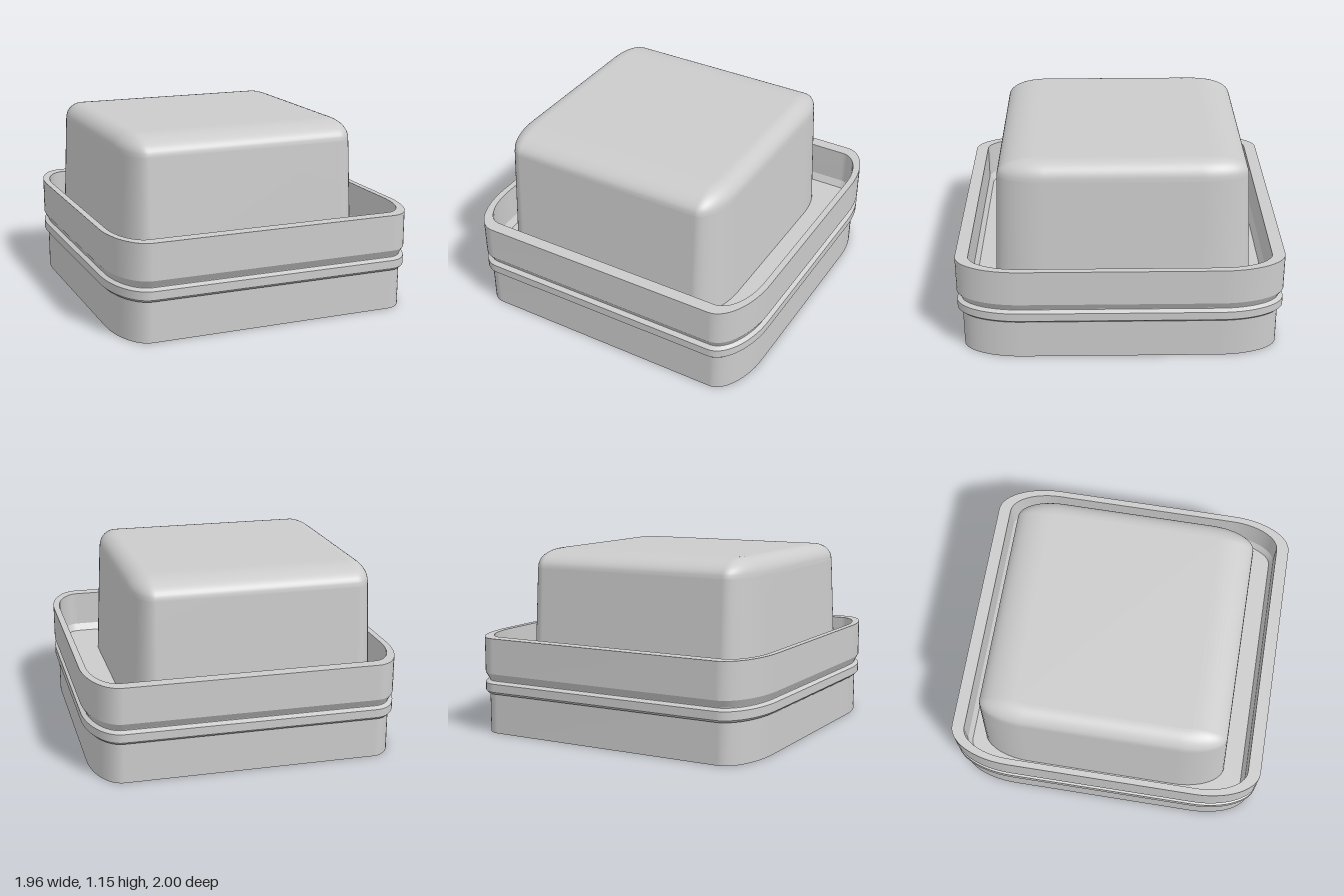
import * as THREE from 'three';

const SEG = 14; // segments per rounded corner

// Rounded rectangle loop with elliptical corners around the centres (cx, cz)
function loop([hx, hz, y], cx, cz) {
  const pts = [];
  if (hx === 0) cx = cz = 0;
  for (let q = 0; q < 4; q++) {
    const sx = q === 0 || q === 3 ? 1 : -1, sz = q < 2 ? 1 : -1;
    for (let k = 0; k <= SEG; k++) {
      const t = (q + k / SEG) * Math.PI / 2;
      pts.push(sx * cx + (hx - cx) * Math.cos(t), y, sz * cz + (hz - cz) * Math.sin(t));
    }
  }
  return pts;
}

// Smooth skin through a run of sections [halfX, halfZ, y]
function skin(sections, cx, cz, material) {
  const n = 4 * (SEG + 1), pos = [], index = [];
  sections.forEach(s => pos.push(...loop(s, cx, cz)));
  for (let i = 0; i < sections.length - 1; i++) {
    for (let j = 0; j < n; j++) {
      const a = i * n + j, b = i * n + (j + 1) % n;
      if (sections[i][0] > 0) index.push(a, a + n, b);
      if (sections[i + 1][0] > 0) index.push(b, a + n, b + n);
    }
  }
  // close the fan where the last section is a centre point
  const g = new THREE.BufferGeometry();
  g.setAttribute('position', new THREE.Float32BufferAttribute(pos, 3));
  g.setIndex(index);
  g.computeVertexNormals();
  return new THREE.Mesh(g, material);
}

// Each pair of neighbouring sections becomes its own skin, so edges stay sharp
function sharpPart(name, sections, cx, cz, material) {
  const part = new THREE.Group();
  part.name = name;
  for (let i = 0; i < sections.length - 1; i++) {
    const m = skin([sections[i], sections[i + 1]], cx, cz, material);
    m.name = name + 'Face' + (i + 1);
    part.add(m);
  }
  return part;
}

export function createModel() {
  const model = new THREE.Group();
  model.name = 'model';
  const grey = new THREE.MeshStandardMaterial({ color: 0xcccccc, side: THREE.DoubleSide });

  // Lower body
  model.add(sharpPart('base', [[0, 0, 0], [0.955, 0.97, 0], [0.955, 0.97, 0.26]], 0.78, 0.6, grey));

  // Bead around the seam, chamfered above and below
  model.add(sharpPart('bead', [
    [0.95, 0.965, 0.255], [0.965, 0.985, 0.255], [0.98, 1, 0.27],
    [0.98, 1, 0.322], [0.955, 0.97, 0.336], [0.955, 0.97, 0.342],
  ], 0.78, 0.6, grey));

  // Open tray: flared outside, rim, inner wall, inner flare and floor
  model.add(sharpPart('tray', [
    [0.955, 0.97, 0.34], [0.98, 1, 0.385], [0.98, 1, 0.61],
    [0.94, 0.92, 0.61], [0.94, 0.92, 0.385], [0.915, 0.895, 0.34], [0, 0, 0.34],
  ], 0.78, 0.6, grey));

  // Raised block, tapered, with a softly rounded top edge
  const profile = [[0.785, 0.797, 0.34], [0.752, 0.765, 1.04]];
  for (let k = 0; k <= 12; k++) {
    const t = k / 12 * Math.PI / 2;
    profile.push([0.635 + 0.115 * Math.cos(t), 0.545 + 0.218 * Math.cos(t), 1.05 + 0.105 * Math.sin(t)]);
  }
  const block = new THREE.Group();
  block.name = 'block';
  const sides = skin(profile, 0.625, 0.48, grey);
  sides.name = 'blockSides';
  const top = skin([[0.635, 0.545, 1.155], [0, 0, 1.155]], 0.625, 0.48, grey);
  top.name = 'blockTop';
  block.add(sides, top);
  block.position.set(-0.085, 0, -0.02);
  model.add(block);

  return model;
}
